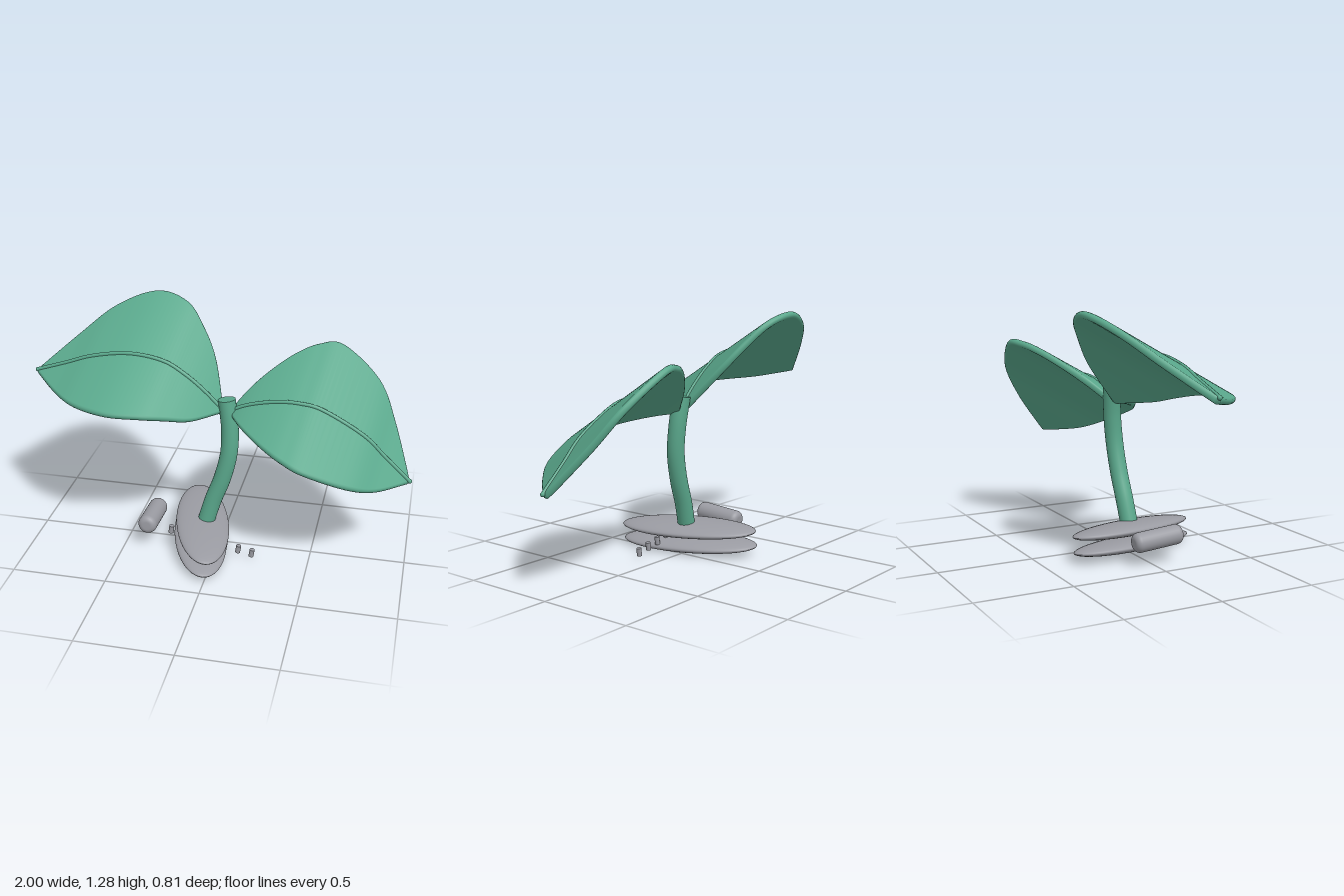
import * as THREE from 'three';

const green = new THREE.MeshStandardMaterial({ color: 0x5aa88c });
green.name = 'leafGreen';
const grey = new THREE.MeshStandardMaterial({ color: 0x9a9ba2 });
grey.name = 'stoneGrey';

function add(parent, name, geometry, material) {
  const mesh = new THREE.Mesh(geometry, material);
  mesh.name = name;
  parent.add(mesh);
  return mesh;
}

// A curved leaf: each station is [x, y, half width]; straight ribs lean along one direction.
function makeLeaf(name, stations, shear, slope, zBase, zTip) {
  const leaf = new THREE.Group();
  leaf.name = name;
  const last = stations.length - 1;
  const mid = new THREE.CatmullRomCurve3(stations.map(([x, y], i) =>
    new THREE.Vector3(x, y, zBase + (zTip - zBase) * i / last)), false, 'catmullrom');
  const width = new THREE.CatmullRomCurve3(stations.map(([, , w]) => new THREE.Vector3(w, 0, 0)), false, 'catmullrom');
  const rib = new THREE.Vector3(shear, slope, -1);
  const ribScale = rib.length();
  rib.normalize();

  const rows = 56, arc = 6, loop = 2 * (arc + 1), half = 0.018;
  const positions = [], index = [], veinPoints = [];
  for (let i = 0; i <= rows; i++) {
    const t = i / rows;
    const p = mid.getPoint(t);
    const normal = mid.getTangent(t).cross(rib).normalize();
    const w = Math.max(width.getPoint(t).x, 0.01) * ribScale;
    const r = Math.min(half, w);
    // Slab section with a rounded rim on the back and front edges
    for (let j = 0; j < loop; j++) {
      const back = j <= arc;
      const a = -Math.PI / 2 + Math.PI * (back ? j : j - 1) / arc;
      const centre = back ? w - r : -(0.88 * w - r);
      const q = p.clone().addScaledVector(rib, centre + r * Math.cos(a)).addScaledVector(normal, r * Math.sin(a));
      positions.push(q.x, q.y, q.z);
      const k = (j + 1) % loop;
      if (i < rows) {
        const A = i * loop + j, B = i * loop + k, C = A + loop, D = B + loop;
        index.push(A, B, C, B, D, C);
      }
    }
    veinPoints.push(p.clone().addScaledVector(normal, Math.sign(normal.y) * 0.017));
  }
  // End caps
  for (let j = 1; j < loop - 1; j++) {
    const e = rows * loop;
    index.push(0, j + 1, j, e, e + j, e + j + 1);
  }
  const blade = new THREE.BufferGeometry();
  blade.setAttribute('position', new THREE.Float32BufferAttribute(positions, 3));
  blade.setIndex(index);
  blade.computeVertexNormals();
  add(leaf, 'blade', blade, green);

  // Raised midrib with a rounded tip
  const veinCurve = new THREE.CatmullRomCurve3(veinPoints);
  add(leaf, 'vein', new THREE.TubeGeometry(veinCurve, 60, 0.011, 8), green);
  add(leaf, 'veinTip', new THREE.SphereGeometry(0.012, 10, 8), green).position.copy(veinPoints[rows]);
  return leaf;
}

// Cylinder with softly rounded ends, standing on the y axis
function roundedCylinder(r, length, bevel) {
  const points = [new THREE.Vector2(0, -length / 2)];
  for (const end of [-1, 1]) {
    for (let i = 0; i <= 6; i++) {
      const a = (end < 0 ? -1 + i / 6 : i / 6) * Math.PI / 2;
      points.push(new THREE.Vector2(r - bevel + bevel * Math.cos(a), end * (length / 2 - bevel) + bevel * Math.sin(a)));
    }
  }
  points.push(new THREE.Vector2(0, length / 2));
  return new THREE.LatheGeometry(points, 28);
}

export function createModel() {
  const model = new THREE.Group();
  model.name = 'sprout';

  // Stem with a closed top and bottom
  const stemCurve = new THREE.CatmullRomCurve3([
    [-0.075, 0.13, 0.025], [-0.035, 0.27, 0.015], [0.015, 0.41, 0.008],
    [0.048, 0.56, 0], [0.05, 0.7, -0.012], [0.03, 0.855, -0.025],
  ].map((p) => new THREE.Vector3(...p)));
  add(model, 'stem', new THREE.TubeGeometry(stemCurve, 40, 0.046, 24), green);
  for (const t of [0, 1]) {
    const cap = add(model, t ? 'stemTop' : 'stemBottom', new THREE.CircleGeometry(0.046, 24), green);
    const p = stemCurve.getPoint(t);
    cap.position.copy(p);
    cap.lookAt(p.clone().addScaledVector(stemCurve.getTangent(t), t ? 1 : -1));
  }

  // Leaves
  model.add(makeLeaf('rightLeaf', [
    [0, 0.79, 0.02], [-0.1, 0.89, 0.19], [-0.2, 0.97, 0.285], [-0.31, 1.03, 0.355],
    [-0.48, 1.052, 0.38], [-0.67, 1.022, 0.31], [-0.82, 0.97, 0.185], [-0.985, 0.915, 0.015],
  ], 0.139, 0.58, -0.02, -0.032));
  model.add(makeLeaf('leftLeaf', [
    [0.06, 0.785, 0.02], [0.13, 0.82, 0.115], [0.21, 0.845, 0.2], [0.31, 0.863, 0.285], [0.41, 0.865, 0.345],
    [0.525, 0.842, 0.375], [0.73, 0.728, 0.315], [0.85, 0.615, 0.2], [0.98, 0.495, 0.012],
  ], 0.15, 0.58, -0.02, 0));

  // Two stacked oval base stones
  for (const [name, x, y] of [['lowerBaseStone', -0.102, 0.047], ['upperBaseStone', -0.09, 0.128]]) {
    const stone = add(model, name, new THREE.SphereGeometry(1, 48, 24), grey);
    stone.scale.set(0.143, 0.037, 0.385);
    stone.rotation.set(0, 0.26, -0.12, 'ZYX');
    stone.position.set(x, y, 0.028);
  }

  // Loose log beside the base
  const log = add(model, 'log', roundedCylinder(0.051, 0.27, 0.03), grey);
  log.rotation.x = Math.PI / 2 - 0.08;
  log.position.set(-0.37, 0.137, 0.025);

  // Row of small pegs
  for (let i = 0; i < 7; i++) {
    const peg = add(model, 'peg' + (i + 1), new THREE.CylinderGeometry(0.0135, 0.0135, 0.042, 14), grey);
    peg.position.set(-0.24 + i * 0.0733, 0.127 - i * 0.0152, 0.125);
    peg.rotation.z = -0.15;
  }
  return model;
}
